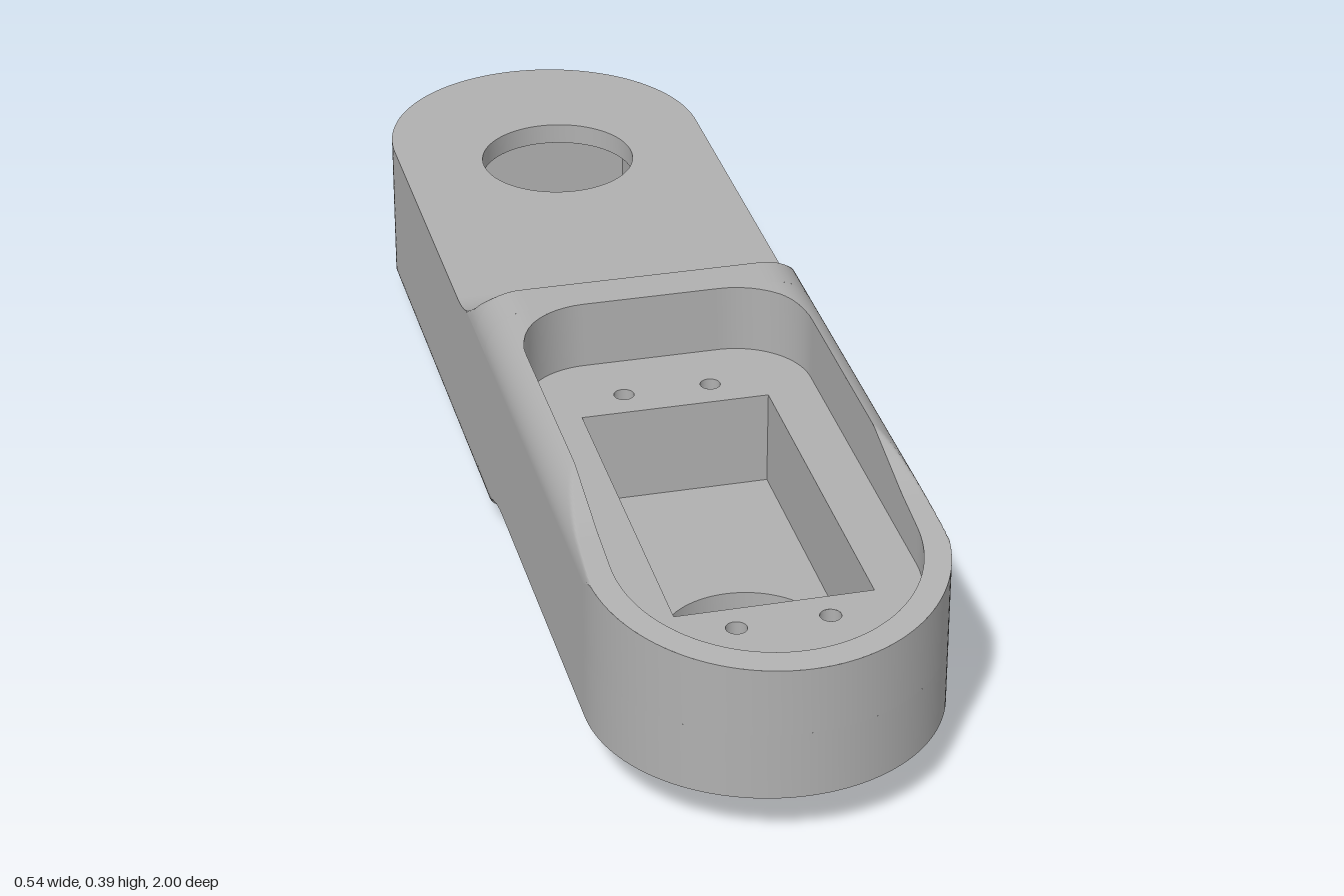
import * as THREE from 'three';

const H = 0.386, FLAT = 0.301, R = 0.27, END = 0.73; // height, low deck, half width, end arc centre
const FILLET = 0.07, RUN = 0.15;                     // edge rounding, length of the step curve
const LEDGE = 0.275, BAY = 0.12, HOLE = 0.13, HOLE_Z = 0.64;

const bodyGrey = new THREE.MeshStandardMaterial({ color: 0xb0b0b0, side: THREE.DoubleSide });
bodyGrey.name = 'bodyGrey';

function add(group, geometry, name) {
  const mesh = new THREE.Mesh(geometry, bodyGrey);
  mesh.name = name;
  group.add(mesh);
}

function indexed(positions, index) {
  const g = new THREE.BufferGeometry();
  g.setAttribute('position', new THREE.Float32BufferAttribute(positions, 3));
  g.setIndex(index);
  g.computeVertexNormals();
  return g;
}

// Upward-facing flat plate; the shape is drawn in x and z
function plate(shape, y) {
  const g = new THREE.ShapeGeometry(shape, 40);
  g.rotateX(Math.PI / 2).scale(-1, 1, 1).translate(0, y, 0);
  g.computeVertexNormals();
  return g;
}

// Vertical wall along a closed loop, from top(x, z) down to a fixed height
function wall(points, top, bottom, inward) {
  const loop = points.slice();
  if (loop[0].distanceTo(loop[loop.length - 1]) < 1e-6) loop.pop();
  if (inward) loop.reverse();
  const pos = [], idx = [], n = loop.length;
  loop.forEach((p, i) => {
    pos.push(p.x, top(p.x, p.y), p.y, p.x, bottom, p.y);
    const a = 2 * i, b = 2 * ((i + 1) % n);
    idx.push(a, b, a + 1, b, b + 1, a + 1);
  });
  return indexed(pos, idx);
}

function circle(x, z, r) {
  return new THREE.Path().absarc(x, z, r, 0, Math.PI * 2);
}

function rectangle(path, x, z0, z1) {
  path.moveTo(x, z0).lineTo(x, z1).lineTo(-x, z1).lineTo(-x, z0).closePath();
  return path;
}

function stadium() {
  const s = new THREE.Shape();
  s.absarc(0, END, R, 0, Math.PI);
  s.absarc(0, -END, R, Math.PI, Math.PI * 2);
  return s.closePath();
}

function recessShape() {
  const s = new THREE.Shape();
  s.absarc(0, END, 0.23, 0, Math.PI);
  s.absarc(-0.11, 0.16, 0.12, Math.PI, Math.PI * 1.5);
  s.absarc(0.11, 0.16, 0.12, Math.PI * 1.5, Math.PI * 2);
  return s.closePath();
}

const arc = (r, d) => Math.sqrt(Math.max(0, r * r - d * d));
const outerX = z => (z > END ? arc(R, z - END) : R);
const recessX = z => (z > END ? arc(0.23, z - END) : z < 0.16 ? 0.11 + arc(0.12, 0.16 - z) : 0.23);

// One half: low deck at the back, raised recess at the front
function makeHalf(step, kink) {
  const half = new THREE.Group();
  const foot = step - RUN, rise = H - FLAT;
  const curveR = (RUN * RUN + rise * rise) / (2 * rise);

  // Height of the upper skin: long profile limited by the rounded side edges
  const topY = (x, z) => {
    let y = H;
    if (z < foot) y = FLAT;
    else if (z < step) y = FLAT + curveR - arc(curveR, z - foot);
    else if (z > 0.65) y = THREE.MathUtils.mapLinear(z, 0.65, 1, kink, FLAT);
    else if (z > 0.47) y = THREE.MathUtils.mapLinear(z, 0.47, 0.65, H, kink);
    const over = Math.max(0, Math.abs(x) - (R - FILLET));
    return Math.min(y, H - FILLET + arc(FILLET, over));
  };

  // Upper skin in strips from an inner edge to the outline, mirrored
  const strip = (z0, z1, innerX, rows, name) => {
    const cols = 20;
    for (const side of [1, -1]) {
      const pos = [], idx = [];
      for (let i = 0; i <= rows; i++) {
        const z = z0 + (z1 - z0) * (1 - Math.cos(Math.PI * i / rows)) / 2;
        for (let j = 0; j <= cols; j++) {
          const x = side * THREE.MathUtils.lerp(innerX(z), outerX(z), Math.sin(Math.PI * j / cols / 2));
          pos.push(x, topY(x, z), z);
          if (i === rows || j === cols) continue;
          const a = i * (cols + 1) + j, b = a + cols + 1;
          if (side > 0) idx.push(a, b, a + 1, b, b + 1, a + 1);
          else idx.push(a, a + 1, b, b, a + 1, b + 1);
        }
      }
      add(half, indexed(pos, idx), name);
    }
  };
  strip(foot, step, () => 0, 24, 'stepCurve');
  strip(step, 0.04, () => 0, 4, 'bridge');
  strip(0.04, 0.47, recessX, 30, 'recessRim');
  strip(0.47, 0.96, recessX, 50, 'slopedRim');
  strip(0.96, 1, () => 0, 16, 'endRim');

  // Outer side down to mid height
  add(half, wall(stadium().getSpacedPoints(440), topY, H / 2, false), 'outerWall');

  // Low deck with its round opening
  const deck = new THREE.Shape();
  deck.moveTo(R, foot).lineTo(-R, foot);
  deck.absarc(0, -END, R, Math.PI, Math.PI * 2).closePath();
  const opening = circle(0, -HOLE_Z, HOLE);
  deck.holes.push(opening);
  add(half, plate(deck, FLAT), 'lowDeck');
  add(half, wall(opening.getPoints(80), () => FLAT, H - BAY, true), 'openingWall');

  // Recess with a ledge, a rectangular bay and four screw holes
  add(half, wall(recessShape().getSpacedPoints(260), topY, LEDGE, true), 'recessWall');
  const ledge = recessShape();
  ledge.holes.push(rectangle(new THREE.Path(), 0.15, 0.2, 0.785));
  for (const x of [-0.07, 0.07]) for (const z of [0.145, 0.835]) {
    const screw = circle(x, z, 0.016);
    ledge.holes.push(screw);
    add(half, wall(screw.getPoints(20), () => LEDGE, LEDGE - 0.12, true), 'screwHoleWall');
    const base = new THREE.Shape().absarc(x, z, 0.016, 0, Math.PI * 2);
    add(half, plate(base, LEDGE - 0.12), 'screwHoleBase');
  }
  add(half, plate(ledge, LEDGE), 'ledge');

  const bay = rectangle(new THREE.Shape(), 0.15, 0.2, 0.785);
  const bayWall = wall(bay.getPoints(), () => LEDGE, BAY, true).toNonIndexed();
  bayWall.computeVertexNormals();
  add(half, bayWall, 'bayWall');
  bay.holes.push(circle(0, HOLE_Z, HOLE));
  add(half, plate(bay, BAY), 'bayFloor');
  return half;
}

export function createModel() {
  const model = new THREE.Group();
  model.name = 'linkArm';
  const upper = makeHalf(-0.03, 0.347);
  upper.name = 'upperHalf';
  // The lower half is the same form turned over
  const lower = makeHalf(0, 0.353);
  lower.name = 'lowerHalf';
  lower.rotation.x = Math.PI;
  lower.position.y = H;
  model.add(upper, lower);
  return model;
}
